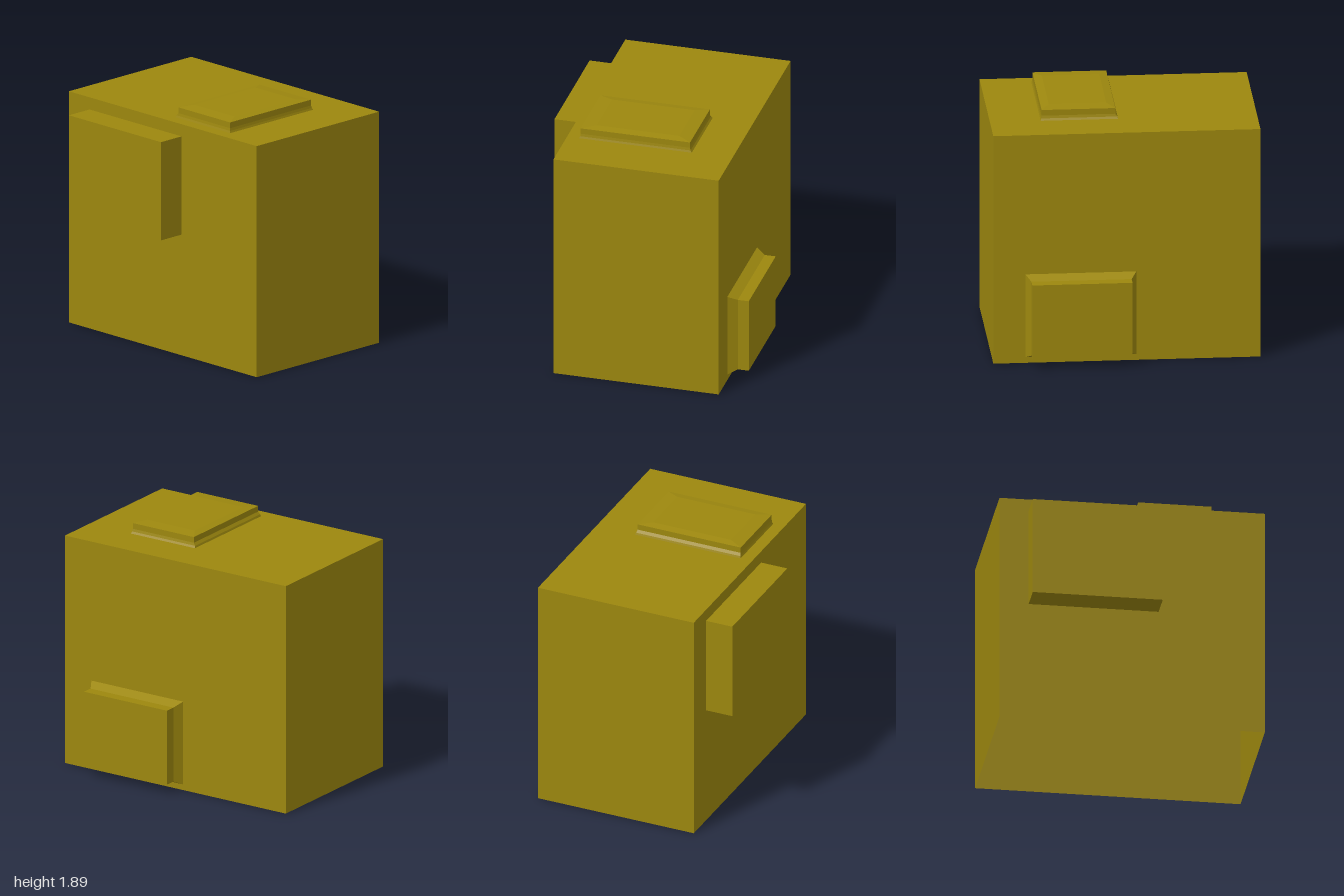
import * as THREE from 'three';

const material = new THREE.MeshStandardMaterial({
  color: 0x9c870e, flatShading: true, side: THREE.DoubleSide,
});

// Stack of rectangles [x0, x1, z0, z1, height], skinned upwards and capped on top
function steppedPad(name, rings) {
  const positions = [];
  const corners = rings.map(([x0, x1, z0, z1, y]) => [
    [x0, y, z1], [x1, y, z1], [x1, y, z0], [x0, y, z0],
  ]);
  const quad = (a, b, c, d) => positions.push(...a, ...b, ...c, ...a, ...c, ...d);
  for (let r = 0; r < corners.length - 1; r++) {
    for (let i = 0; i < 4; i++) {
      const j = (i + 1) % 4;
      quad(corners[r][i], corners[r][j], corners[r + 1][j], corners[r + 1][i]);
    }
  }
  quad(...corners[corners.length - 1]);
  const geometry = new THREE.BufferGeometry();
  geometry.setAttribute('position', new THREE.Float32BufferAttribute(positions, 3));
  geometry.computeVertexNormals();
  const mesh = new THREE.Mesh(geometry, material);
  mesh.name = name;
  return mesh;
}

export function createModel() {
  const model = new THREE.Group();
  model.name = 'blockWithPanels';

  // Main shell: a box left open underneath
  const shellGeometry = new THREE.BoxGeometry(2, 1.8, 1.28);
  const faces = Array.from(shellGeometry.index.array);
  faces.splice(18, 6); // the bottom face
  shellGeometry.setIndex(faces);
  shellGeometry.clearGroups();
  const shell = new THREE.Mesh(shellGeometry, material);
  shell.name = 'shell';
  shell.position.set(0, 0.9, -0.03);
  model.add(shell);

  // Plain raised block on the front, set slightly into the wall
  const frontPanel = new THREE.Mesh(new THREE.BoxGeometry(0.98, 0.765, 0.225), material);
  frontPanel.name = 'frontPanel';
  frontPanel.position.set(-0.29, 1.3225, 0.7125);
  model.add(frontPanel);

  // Roof pad: flared foot, straight sides, faintly crowned top
  model.add(steppedPad('roofPad', [
    [0.04, 0.62, -0.355, 0.515, 1.8],
    [0.045, 0.615, -0.345, 0.51, 1.815],
    [0.06, 0.612, -0.34, 0.507, 1.835],
    [0.06, 0.612, -0.34, 0.507, 1.88],
    [0.12, 0.55, -0.24, 0.4, 1.89],
  ]));

  // Back panel: flared foot and straight sides, turned to face backwards
  const backPanel = steppedPad('backPanel', [
    [-0.07, 0.76, 0.045, 0.7, 0.67],
    [-0.03, 0.72, 0.08, 0.665, 0.74],
    [-0.03, 0.72, 0.08, 0.665, 0.825],
  ]);
  backPanel.rotation.x = -Math.PI / 2;
  model.add(backPanel);

  return model;
}
